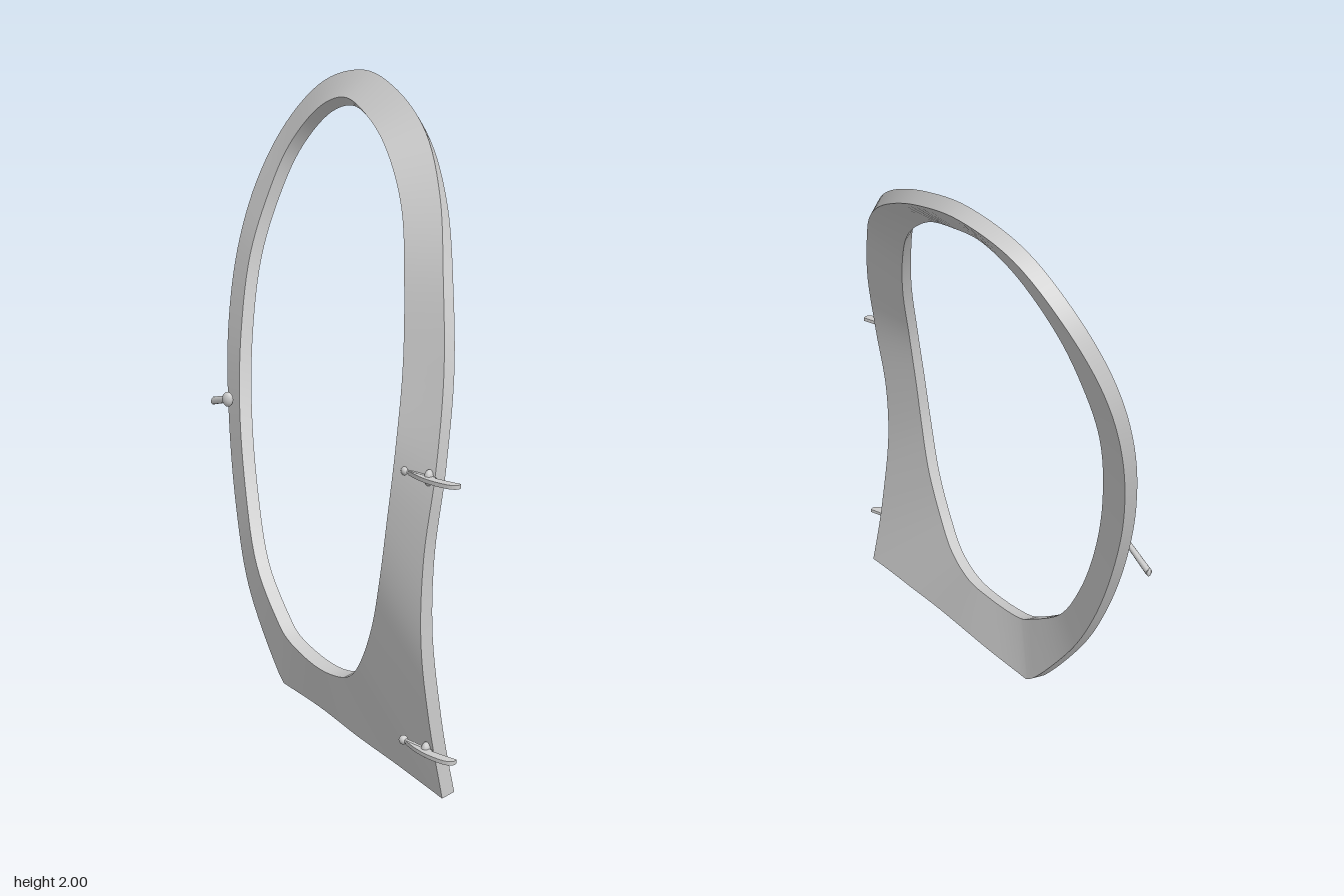
import * as THREE from 'three';
import { toCreasedNormals } from 'three/addons/utils/BufferGeometryUtils.js';

const THICKNESS = 0.045;
const STEPS = 6; // sections per control interval
const V = (x, y, z) => new THREE.Vector3(x, y, z);

// Front-face edges of the frame, counterclockwise from the lower right corner
const OUTER = [
  [0.635, 0, 0.44], [0.615, 0.25, 0.485], [0.6, 0.5, 0.51], [0.6, 0.75, 0.5], [0.615, 1.0, 0.465],
  [0.585, 1.25, 0.38], [0.5, 1.49, 0.25], [0.37, 1.69, 0.06], [0.2, 1.85, -0.13], [0, 1.955, -0.28],
  [-0.2, 2.0, -0.39], [-0.4, 1.95, -0.45], [-0.57, 1.8, -0.47], [-0.66, 1.6, -0.42], [-0.69, 1.37, -0.345],
  [-0.67, 1.1, -0.26], [-0.61, 0.82, -0.18], [-0.51, 0.53, -0.085], [-0.4, 0.3, -0.005], [-0.235, 0.06, 0.06],
  [-0.2, 0.03, 0.075], [0, 0.025, 0.155], [0.22, 0.018, 0.26], [0.42, 0.01, 0.345],
].map((p) => V(...p));
const INNER = [
  [0.31, 0.33, 0.385], [0.38, 0.47, 0.43], [0.43, 0.64, 0.465], [0.455, 0.83, 0.465], [0.462, 1.03, 0.435],
  [0.43, 1.24, 0.35], [0.36, 1.45, 0.235], [0.25, 1.645, 0.08], [0.1, 1.79, -0.07], [-0.07, 1.875, -0.215],
  [-0.24, 1.915, -0.33], [-0.38, 1.865, -0.385], [-0.51, 1.73, -0.4], [-0.57, 1.57, -0.365], [-0.6, 1.37, -0.3],
  [-0.585, 1.13, -0.225], [-0.54, 0.88, -0.15], [-0.45, 0.61, -0.06], [-0.34, 0.4, 0.03], [-0.2, 0.265, 0.11],
  [-0.14, 0.225, 0.14], [0.02, 0.195, 0.215], [0.13, 0.203, 0.265], [0.23, 0.245, 0.325],
].map((p) => V(...p));
const ARCH = 20; // intervals before the straight bottom edge begins

// Four-cornered sections swept around the opening
function frameGeometry() {
  const count = OUTER.length;
  const arch = new THREE.CatmullRomCurve3(OUTER.slice(0, ARCH + 1));
  const base = new THREE.CatmullRomCurve3([...OUTER.slice(ARCH), OUTER[0]]);
  const opening = new THREE.CatmullRomCurve3(INNER, true);
  const total = count * STEPS;
  const positions = [], index = [];
  for (let i = 0; i < total; i++) {
    const u = i / STEPS;
    const o = u <= ARCH ? arch.getPoint(u / ARCH) : base.getPoint((u - ARCH) / (count - ARCH));
    const n = opening.getPoint(u / count);
    const back = o.clone().sub(n).cross(opening.getTangent(u / count)).setLength(-THICKNESS);
    for (const p of [o, n, n.clone().add(back), o.clone().add(back)]) {
      p.y = Math.max(p.y, 0);
      positions.push(p.x, p.y, p.z);
    }
    const next = (i + 1) % total;
    for (let k = 0; k < 4; k++) {
      const a = i * 4 + k, b = i * 4 + (k + 1) % 4;
      const c = next * 4 + (k + 1) % 4, d = next * 4 + k;
      index.push(a, d, c, a, c, b);
    }
  }
  const geo = new THREE.BufferGeometry();
  geo.setAttribute('position', new THREE.Float32BufferAttribute(positions, 3));
  geo.setIndex(index);
  return toCreasedNormals(geo, 0.6);
}

export function createModel() {
  const model = new THREE.Group();
  const material = new THREE.MeshStandardMaterial({ color: 0xcccccc });

  const add = (parent, name, geometry, position = V(0, 0, 0)) => {
    const mesh = new THREE.Mesh(geometry, material);
    mesh.name = name;
    mesh.position.copy(position);
    parent.add(mesh);
    return mesh;
  };
  // Round rod between two points
  const rod = (parent, name, from, to, r0, r1) => {
    const dir = to.clone().sub(from);
    const mesh = add(parent, name, new THREE.CylinderGeometry(r1, r0, dir.length(), 12),
      from.clone().add(to).multiplyScalar(0.5));
    mesh.quaternion.setFromUnitVectors(V(0, 1, 0), dir.normalize());
    return mesh;
  };

  add(model, 'frame', frameGeometry());

  // Horizontal leaf-shaped blades with a pivot on the right-hand edge
  const leaf = new THREE.Shape();
  leaf.moveTo(0.52, 0.46);
  leaf.quadraticCurveTo(0.6, 0.512, 0.68, 0.513);
  leaf.quadraticCurveTo(0.715, 0.51, 0.708, 0.485);
  leaf.quadraticCurveTo(0.6, 0.48, 0.52, 0.46);
  const leafGeo = new THREE.ExtrudeGeometry(leaf, { depth: 0.012, bevelEnabled: false, curveSegments: 8 });
  leafGeo.rotateX(Math.PI / 2);
  for (const [name, y] of [['upperLatch', 0.975], ['lowerLatch', 0.155]]) {
    const latch = new THREE.Group();
    latch.name = name;
    latch.position.y = y;
    add(latch, 'latchBlade', leafGeo, V(0, 0.006, 0));
    rod(latch, 'latchArm', V(0.5, 0, 0.447), V(0.62, 0, 0.475), 0.007, 0.007);
    add(latch, 'latchTip', new THREE.SphereGeometry(0.014, 12, 8), V(0.505, 0, 0.448));
    add(latch, 'latchPivot', new THREE.SphereGeometry(0.024, 12, 8), V(0.595, 0, 0.468)).scale.set(0.6, 1, 0.7);
    model.add(latch);
  }

  // Slim lever on the opposite edge
  const lever = new THREE.Group();
  lever.name = 'lever';
  const inner = V(-0.585, 0.895, -0.143), tip = V(-0.705, 0.857, -0.22);
  rod(lever, 'leverArm', inner, tip, 0.012, 0.015).scale.z = 0.7;
  add(lever, 'leverTip', new THREE.SphereGeometry(0.014, 12, 8), tip).scale.set(0.5, 1, 0.6);
  add(lever, 'leverPivot', new THREE.SphereGeometry(0.026, 12, 8), inner).scale.set(0.8, 1, 0.6);
  model.add(lever);

  return model;
}
